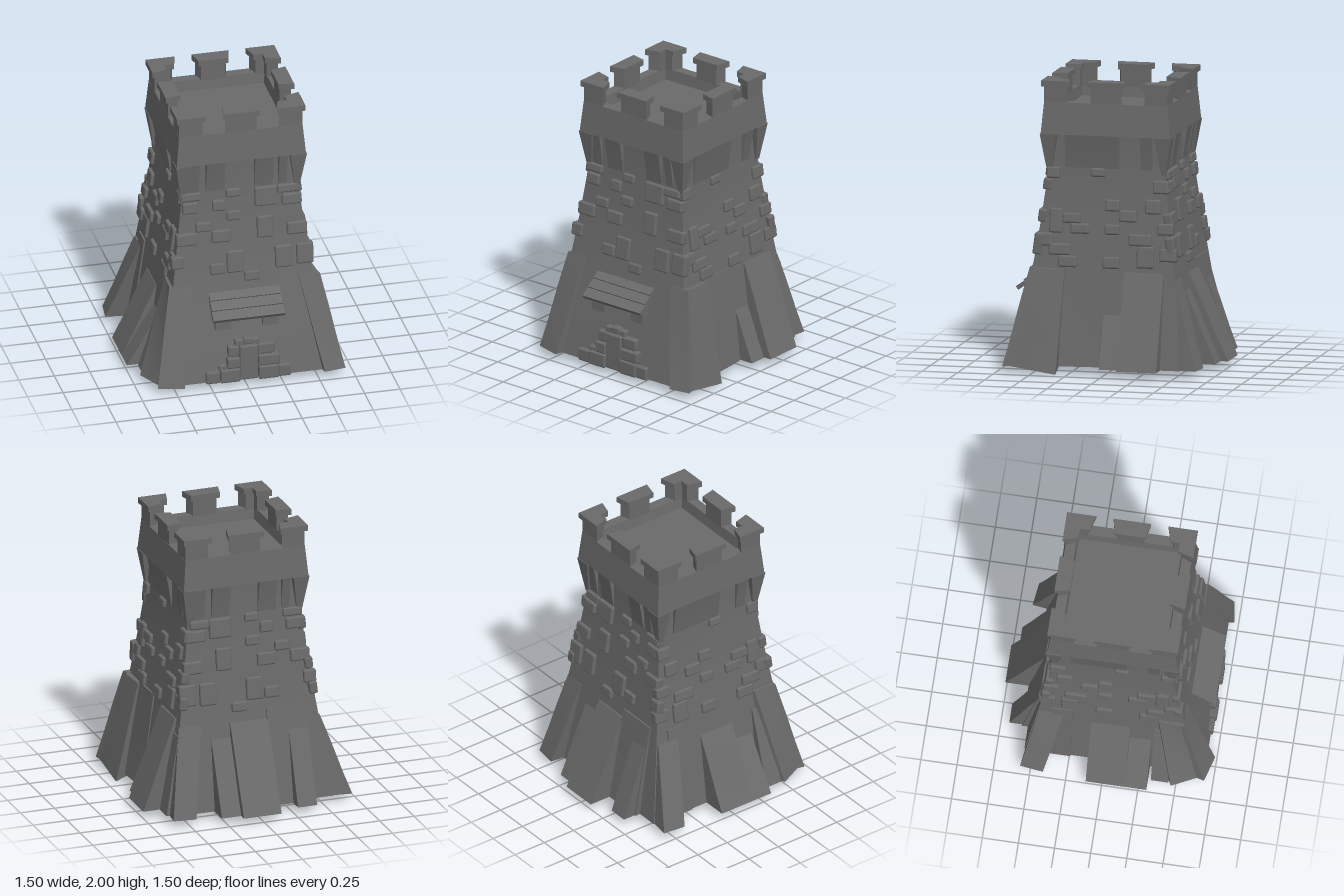
import * as THREE from 'three';
import { toCreasedNormals } from 'three/addons/utils/BufferGeometryUtils.js';
import { RoundedBoxGeometry } from 'three/addons/geometries/RoundedBoxGeometry.js';

const stone = new THREE.MeshStandardMaterial({ color: 0x6a6a6a, side: THREE.DoubleSide });
const CX = 0.01, CZ = 0.03; // tower axis
const lerp = THREE.MathUtils.lerp;
const wallHalf = (y) => 0.49 - (y - 0.75) * 0.128; // half width of the upper wall

function add(parent, name, geometry, x = 0, y = 0, z = 0) {
  const mesh = new THREE.Mesh(geometry, stone);
  mesh.name = name;
  mesh.position.set(x, y, z);
  parent.add(mesh);
  return mesh;
}

// Skin through cross-sections, each a list of [x, y, z] corners
function loft(rings, { closed = true, top = false, bottom = false } = {}) {
  const pos = [], n = rings[0].length;
  const tri = (a, b, c) => pos.push(...a, ...b, ...c);
  for (let i = 0; i < rings.length - 1; i++) {
    for (let j = 0; j < (closed ? n : n - 1); j++) {
      const k = (j + 1) % n, lo = rings[i], hi = rings[i + 1];
      tri(lo[j], lo[k], hi[k]);
      tri(lo[j], hi[k], hi[j]);
    }
  }
  const last = rings[rings.length - 1];
  for (let j = 1; j < n - 1; j++) {
    if (top) tri(last[0], last[j], last[j + 1]);
    if (bottom) tri(rings[0][0], rings[0][j + 1], rings[0][j]);
  }
  const g = new THREE.BufferGeometry();
  g.setAttribute('position', new THREE.Float32BufferAttribute(pos, 3));
  return toCreasedNormals(g, 0.8);
}

const rect = (y, x0, x1, z0, z1) => [[x1, y, z1], [x1, y, z0], [x0, y, z0], [x0, y, z1]];
const square = (y, h) => rect(y, -h, h, -h, h);

// Four copies of a face, the k-th turned by k quarter turns
function fourSides(parent, name, build) {
  for (let k = 0; k < 4; k++) {
    const face = new THREE.Group();
    face.name = name;
    face.rotation.y = k * Math.PI / 2;
    build(face, k);
    parent.add(face);
  }
}

// Flared slab: bottom edge a-b on the ground plan, rising to top edge c-d on the wall
function buttress(parent, ax, az, bx, bz, height, topEdge, footA = 0.05) {
  const half = wallHalf(Math.max(height, 0.6)) + 0.012;
  const clampX = (v) => THREE.MathUtils.clamp(v, CX - half, CX + half);
  const clampZ = (v) => THREE.MathUtils.clamp(v, CZ - half, CZ + half);
  const [cx, cz, dx, dz] = topEdge || [clampX(ax), clampZ(az), clampX(bx), clampZ(bz)];
  const len = Math.hypot(bx - ax, bz - az);
  let nx = (bz - az) / len, nz = -(bx - ax) / len; // inward normal
  if (nx * (ax + bx) + nz * (az + bz) > 0) { nx = -nx; nz = -nz; }
  const depth = Math.max(Math.abs(ax), Math.abs(az)) - 0.55; // reach back to the wall
  const rings = [0, 0.3, 0.65, 1].map((t) => {
    const e = t + 0.12 * t * (1 - t) * (1 - 2 * t); // slight flare at the foot
    const ya = lerp(footA, height, t), yb = lerp(0.05, height, t), d = lerp(depth, 0.05, t);
    const x0 = lerp(ax, cx, e), z0 = lerp(az, cz, e), x1 = lerp(bx, dx, e), z1 = lerp(bz, dz, e);
    return [[x0 + nx * d, yb, z0 + nz * d], [x0, ya, z0], [x1, yb, z1], [x1 + nx * d, yb, z1 + nz * d]];
  });
  add(parent, 'buttress', loft(rings, { closed: false, top: true }));
}

export function createModel() {
  const model = new THREE.Group();
  model.name = 'tower';
  const upper = new THREE.Group();
  upper.name = 'upperTower';
  upper.position.set(CX, 0, CZ);
  model.add(upper);

  // Hollow body, open underneath; the front flares more than the other sides
  add(model, 'towerBody', loft([
    rect(0.05, -0.58, 0.59, -0.56, 0.685), rect(0.4, -0.53, 0.55, -0.51, 0.615),
    rect(0.75, -0.48, 0.5, -0.46, 0.525), rect(1.05, -0.44, 0.46, -0.42, 0.48),
    rect(1.4, -0.397, 0.417, -0.377, 0.437), rect(1.63, -0.397, 0.417, -0.377, 0.437),
  ]));

  // Parapet with sunken roof floor
  add(upper, 'parapet', loft([
    square(1.63, 0.39), square(1.63, 0.455), square(1.85, 0.435), square(1.85, 0.365), square(1.77, 0.355),
  ], { top: true }));

  // Merlons: one per side, an angled one per corner, each with a cap
  const prism = (points, y0, y1) => {
    const shape = new THREE.Shape(points.map(([x, z]) => new THREE.Vector2(x, -z)));
    const g = new THREE.ExtrudeGeometry(shape, { depth: y1 - y0, bevelEnabled: false });
    return g.rotateX(-Math.PI / 2).translate(0, y0, 0);
  };
  const middle = (o, i, w) => [[-w, o], [w, o], [w - 0.025, i], [0.025 - w, i]];
  const corner = (o, i, e) => [[o, o], [o, e], [i, e + 0.03], [i, i], [e + 0.03, i], [e, o]];
  fourSides(upper, 'merlons', (face) => {
    add(face, 'merlon', prism(middle(0.434, 0.36, 0.11), 1.84, 1.965));
    add(face, 'merlonCap', prism(middle(0.452, 0.345, 0.13), 1.96, 2));
    add(face, 'cornerMerlon', prism(corner(0.434, 0.36, 0.27), 1.84, 1.965));
    add(face, 'cornerMerlonCap', prism(corner(0.452, 0.345, 0.25), 1.96, 2));
  });

  // Corbels widening up to the parapet
  fourSides(upper, 'corbels', (face, k) => {
    const spans = k % 2 ? [[-0.29, -0.2], [-0.2, 0.09], [0.24, 0.32]] : [[-0.37, -0.29], [-0.24, -0.11], [0.1, 0.23], [0.27, 0.33]];
    for (const [a, b] of spans) {
      add(face, 'corbel', loft([
        rect(1.4, a, b, 0.37, 0.412), rect(1.52, a, b, 0.37, 0.428), rect(1.63, a, b, 0.37, 0.448),
      ], { top: true, bottom: true }));
    }
    add(face, 'cornerCorbel', loft([
      rect(1.37, 0.385, 0.418, 0.385, 0.418), rect(1.63, 0.345, 0.46, 0.345, 0.46),
    ], { top: true, bottom: true }));
  });

  // Raised wall stones: [left, right, bottom, top] on a face
  const frontStones = [
    [-0.41, -0.3, 1.25, 1.33], [-0.2, -0.11, 1.25, 1.33], [-0.1, 0, 1.34, 1.4], [-0.1, 0, 1.17, 1.24],
    [0.1, 0.26, 1.25, 1.39], [0.26, 0.4, 1.33, 1.39], [0.29, 0.43, 1.24, 1.32], [-0.32, -0.21, 1.11, 1.18],
    [-0.46, -0.32, 1.02, 1.11], [-0.21, -0.08, 1.02, 1.11], [0.11, 0.22, 1.02, 1.18], [0.32, 0.46, 1.02, 1.11],
    [-0.5, -0.41, 0.86, 0.95], [-0.23, -0.12, 0.79, 0.87], [-0.11, 0.01, 0.79, 0.95], [0.23, 0.35, 0.79, 0.95],
    [0.38, 0.5, 0.8, 0.95], [0.01, 0.12, 0.72, 0.79], [-0.42, -0.28, 1.34, 1.4],
  ];
  const sideStones = [
    [-0.42, -0.33, 1.32, 1.4], [-0.11, -0.01, 1.34, 1.4], [-0.39, -0.3, 0.95, 1.12], [-0.3, -0.17, 1.02, 1.09],
    [0, 0.1, 1.11, 1.19], [-0.24, -0.11, 0.95, 1.02], [0, 0.1, 0.95, 1.02], [-0.48, -0.36, 0.86, 0.95],
    [-0.39, -0.24, 0.8, 0.88], [-0.32, -0.19, 0.72, 0.8], [-0.01, 0.11, 0.72, 0.8], [0.17, 0.33, 0.88, 0.96],
    [0.23, 0.35, 0.73, 0.88], [0.28, 0.39, 1.1, 1.2], [0.33, 0.44, 1.24, 1.33], [0.37, 0.48, 0.96, 1.04],
    [0.1, 0.22, 1.04, 1.12], [0.39, 0.51, 0.78, 0.87],
  ];
  fourSides(upper, 'wallStones', (face, k) => {
    const flip = k > 1 ? -1 : 1;
    for (const [a, b, y0, y1] of k % 2 ? sideStones : frontStones) {
      const y = (y0 + y1) / 2;
      const block = add(face, 'wallStone', new RoundedBoxGeometry(b - a, y1 - y0, 0.06, 2, 0.013),
        flip * (a + b) / 2, y, wallHalf(y) - 0.008);
      block.rotation.x = -0.127;
    }
  });

  // Buttresses around the foot
  const buttresses = [
    [-0.45, 0.74, -0.63, 0.69, 0.73, [-0.35, 0.535, -0.51, 0.53]], // front corners
    [-0.61, 0.65, -0.70, 0.47, 0.73, [-0.505, 0.53, -0.5, 0.36]],
    [0.69, 0.70, 0.54, 0.725, 0.72, [0.55, 0.54, 0.4, 0.54]],
    [0.68, 0.33, 0.68, 0.66, 0.71, [0.53, 0.3, 0.55, 0.54], 0],
    [0.60, 0.04, 0.62, 0.32, 0.72], [0.695, -0.11, 0.695, 0.02, 0.45], // left side
    [0.75, -0.395, 0.75, -0.115, 0.7], [0.63, -0.53, 0.63, -0.39, 0.6],
    [0.46, -0.66, 0.62, -0.64, 0.66, [0.36, -0.48, 0.52, -0.47]], // back
    [0.15, -0.705, 0.29, -0.705, 0.55], [-0.125, -0.76, 0.15, -0.76, 0.65],
    [-0.41, -0.69, -0.27, -0.69, 0.6], [-0.42, -0.6, -0.12, -0.6, 0.72],
    [-0.73, -0.41, -0.71, -0.57, 0.62, [-0.51, -0.3, -0.51, -0.47]], // right side
    [-0.59, -0.24, -0.59, -0.38, 0.7], [-0.755, 0.16, -0.755, -0.11, 0.56],
    [-0.755, 0.31, -0.755, 0.16, 0.45], [-0.68, 0.45, -0.68, 0.33, 0.6],
  ];
  for (const spec of buttresses) buttress(model, ...spec);

  // Doorway: slab framed by a stepped arch of stones
  const door = new THREE.Group();
  door.name = 'doorway';
  model.add(door);
  const doorStones = [
    [-0.05, 0.08, 0.04, 0.3, 0.69], [-0.29, -0.19, 0.04, 0.13, 0.7], [-0.19, -0.05, 0.04, 0.14, 0.71],
    [0.08, 0.22, 0.04, 0.14, 0.71], [0.22, 0.31, 0.04, 0.13, 0.7], [-0.2, -0.14, 0.13, 0.17, 0.69],
    [-0.14, -0.05, 0.14, 0.22, 0.7], [0.08, 0.23, 0.14, 0.22, 0.7], [-0.13, -0.05, 0.22, 0.3, 0.68],
    [0.08, 0.2, 0.22, 0.3, 0.68], [-0.08, -0.01, 0.29, 0.34, 0.665], [-0.02, 0.05, 0.3, 0.35, 0.67],
    [0.04, 0.1, 0.29, 0.34, 0.665],
  ];
  for (const [x0, x1, y0, y1, z] of doorStones) {
    add(door, 'doorStone', new RoundedBoxGeometry(x1 - x0, y1 - y0, 0.08, 2, 0.012), (x0 + x1) / 2, (y0 + y1) / 2, z - 0.04);
  }

  // Plank awning on two brackets
  const awning = new THREE.Group();
  awning.name = 'awning';
  model.add(awning);
  for (let i = 0; i < 3; i++) {
    const plank = add(awning, 'awningPlank', new THREE.BoxGeometry(0.505 - i * 0.005, 0.03, 0.09),
      0.012, 0.545 + i * 0.05, 0.662 - i * 0.055);
    plank.rotation.x = 0.6;
  }
  for (const x of [-0.155, 0.18]) add(awning, 'awningBracket', new THREE.BoxGeometry(0.11, 0.1, 0.08), x, 0.47, 0.6);

  return model;
}
